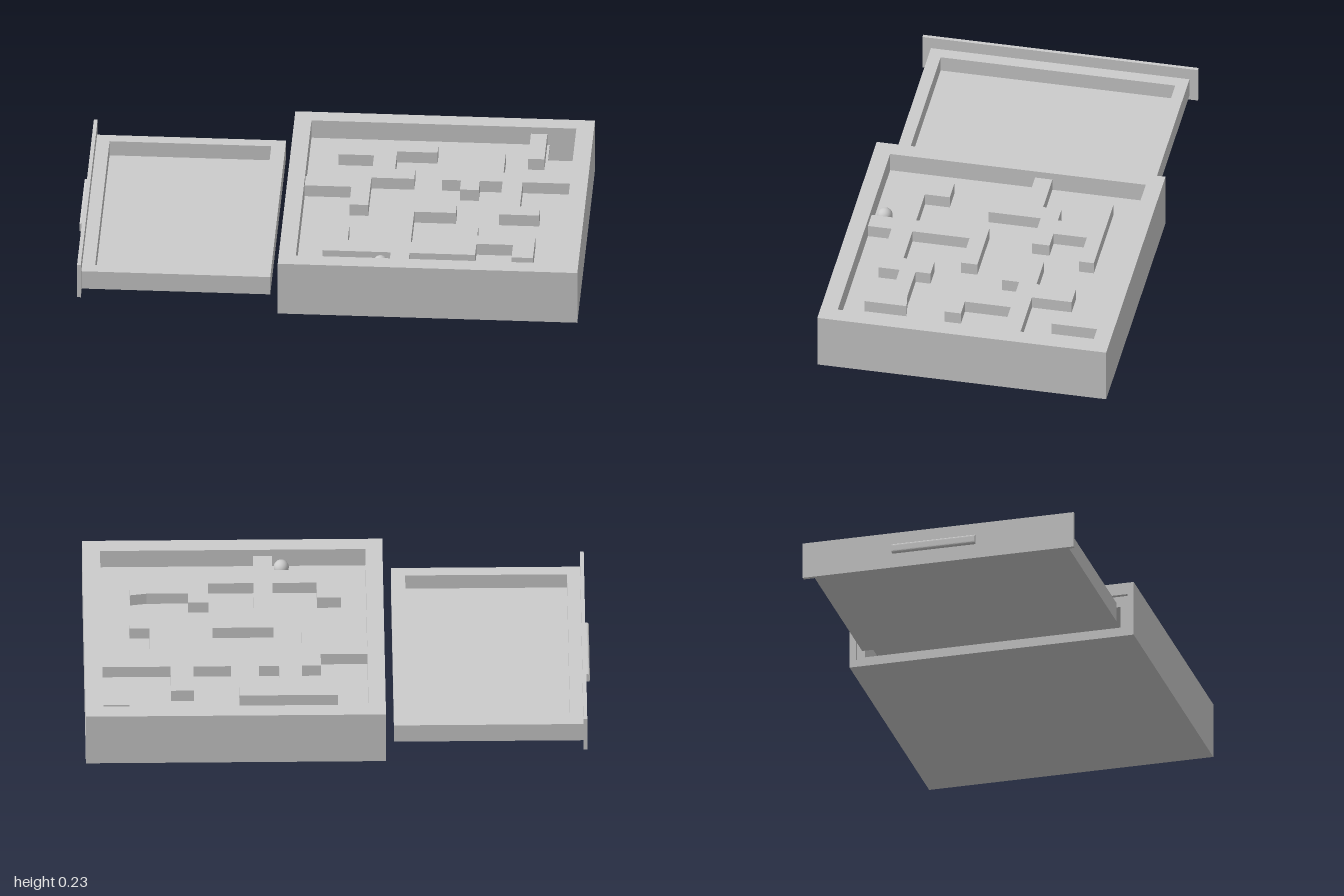
import * as THREE from 'three';

const material = new THREE.MeshStandardMaterial({ color: 0xcccccc });

// Rectangle outline in plan, as [x, z] corners
const rect = (x0, x1, z0, z1) => [[x0, z0], [x1, z0], [x1, z1], [x0, z1]];

function add(parent, name, geometry) {
  const mesh = new THREE.Mesh(geometry, material);
  mesh.name = name;
  parent.add(mesh);
  return mesh;
}

// Plan outline extruded upwards from y0 to y1; holes wind opposite to the outline
function slab(parent, name, outline, y0, y1, holes = []) {
  const toPoints = (pts) => pts.map(([x, z]) => new THREE.Vector2(x, -z));
  const shape = new THREE.Shape(toPoints(outline));
  holes.forEach((h) => shape.holes.push(new THREE.Path(toPoints(h).reverse())));
  const geometry = new THREE.ExtrudeGeometry(shape, { depth: y1 - y0, bevelEnabled: false });
  geometry.rotateX(-Math.PI / 2).translate(0, y0, 0);
  return add(parent, name, geometry);
}

function makeCase() {
  const group = new THREE.Group();
  group.name = 'mazeCase';
  const body = rect(-0.172, 1, -0.583, 0.583);
  const recess = rect(-0.12, 0.93, -0.517, 0.515);
  const exitHole = rect(0.825, 0.93, -0.517, -0.4);

  // Stacked layers: base, drawer cavity, maze floor, raised rim
  slab(group, 'caseBase', body, 0, 0.045);
  slab(group, 'cavityWalls', [
    [-0.172, -0.583], [1, -0.583], [1, 0.583], [-0.172, 0.583],
    [-0.172, 0.525], [0.935, 0.525], [0.935, -0.525], [-0.172, -0.525],
  ], 0.045, 0.135);
  slab(group, 'mazeFloor', body, 0.135, 0.15, [exitHole]);
  slab(group, 'caseRim', body, 0.15, 0.23, [recess]);

  // Shallow collar that receives the drawer front
  slab(group, 'collarBottom', rect(-0.188, -0.172, -0.583, 0.583), 0, 0.03);
  slab(group, 'collarTop', rect(-0.188, -0.172, -0.583, 0.583), 0.18, 0.23);
  slab(group, 'collarBackSide', rect(-0.188, -0.172, -0.583, -0.557), 0.03, 0.18);
  slab(group, 'collarFrontSide', rect(-0.188, -0.172, 0.557, 0.583), 0.03, 0.18);
  return group;
}

function makeMaze() {
  const group = new THREE.Group();
  group.name = 'maze';
  const walls = {
    leftMazeWall: [
      [0, -0.41], [0.39, -0.41], [0.39, -0.35], [0.23, -0.35], [0.23, -0.215], [0.31, -0.215],
      [0.31, -0.145], [0.14, -0.145], [0.14, 0.065], [0.065, 0.065], [0.065, -0.07], [-0.12, -0.07],
      [-0.12, -0.14], [0.065, -0.14], [0.065, -0.215], [0.14, -0.215], [0.14, -0.315], [0, -0.315],
    ],
    rightMazeWall: [
      [0.57, -0.375], [0.66, -0.375], [0.66, -0.215], [0.93, -0.215], [0.93, -0.145], [0.74, -0.145],
      [0.74, 0.04], [0.82, 0.04], [0.82, 0.105], [0.66, 0.105], [0.66, -0.145], [0.57, -0.145],
      [0.57, -0.075], [0.495, -0.075], [0.495, -0.145], [0.42, -0.145], [0.42, -0.215], [0.57, -0.215],
    ],
    frontMazeWall: [
      [0.25, 0.04], [0.49, 0.04], [0.49, 0.105], [0.325, 0.105], [0.325, 0.335], [0.505, 0.335],
      [0.505, 0.21], [0.585, 0.21], [0.585, 0.27], [0.75, 0.27], [0.815, 0.26], [0.815, 0.43],
      [0.73, 0.43], [0.73, 0.335], [0.585, 0.335], [0.585, 0.42], [0.325, 0.42], [0.325, 0.515],
      [0.25, 0.515], [0.25, 0.42], [-0.02, 0.42], [-0.02, 0.235], [0.075, 0.235], [0.075, 0.335],
      [0.25, 0.335],
    ],
    cornerMazeWall: rect(0.75, 0.815, -0.517, -0.325),
  };
  for (const [name, outline] of Object.entries(walls)) slab(group, name, outline, 0.15, 0.2);

  const ball = add(group, 'ball', new THREE.SphereGeometry(0.03, 24, 16));
  ball.position.set(0.213, 0.18, 0.468);
  return group;
}

function makeDrawer() {
  const group = new THREE.Group();
  group.name = 'drawer';
  const tray = rect(-0.97, -0.221, -0.522, 0.522);
  slab(group, 'drawerFloor', tray, 0.05, 0.065);
  slab(group, 'drawerWalls', tray, 0.065, 0.13, [rect(-0.918, -0.277, -0.475, 0.472)]);
  slab(group, 'drawerFront', rect(-0.985, -0.97, -0.556, 0.556), 0.03, 0.18);

  // Pull bar with a rounded outer side
  const profile = new THREE.Shape();
  profile.moveTo(-0.985, 0.09);
  profile.lineTo(-0.985, 0.127);
  profile.lineTo(-0.991, 0.127);
  profile.quadraticCurveTo(-1, 0.127, -1, 0.118);
  profile.lineTo(-1, 0.099);
  profile.quadraticCurveTo(-1, 0.09, -0.991, 0.09);
  const handle = new THREE.ExtrudeGeometry(profile, { depth: 0.342, bevelEnabled: false, curveSegments: 5 });
  add(group, 'drawerHandle', handle.translate(0, 0, -0.188));
  return group;
}

export function createModel() {
  const model = new THREE.Group();
  model.name = 'mazeBoxWithDrawer';
  model.add(makeCase(), makeMaze(), makeDrawer());
  return model;
}
